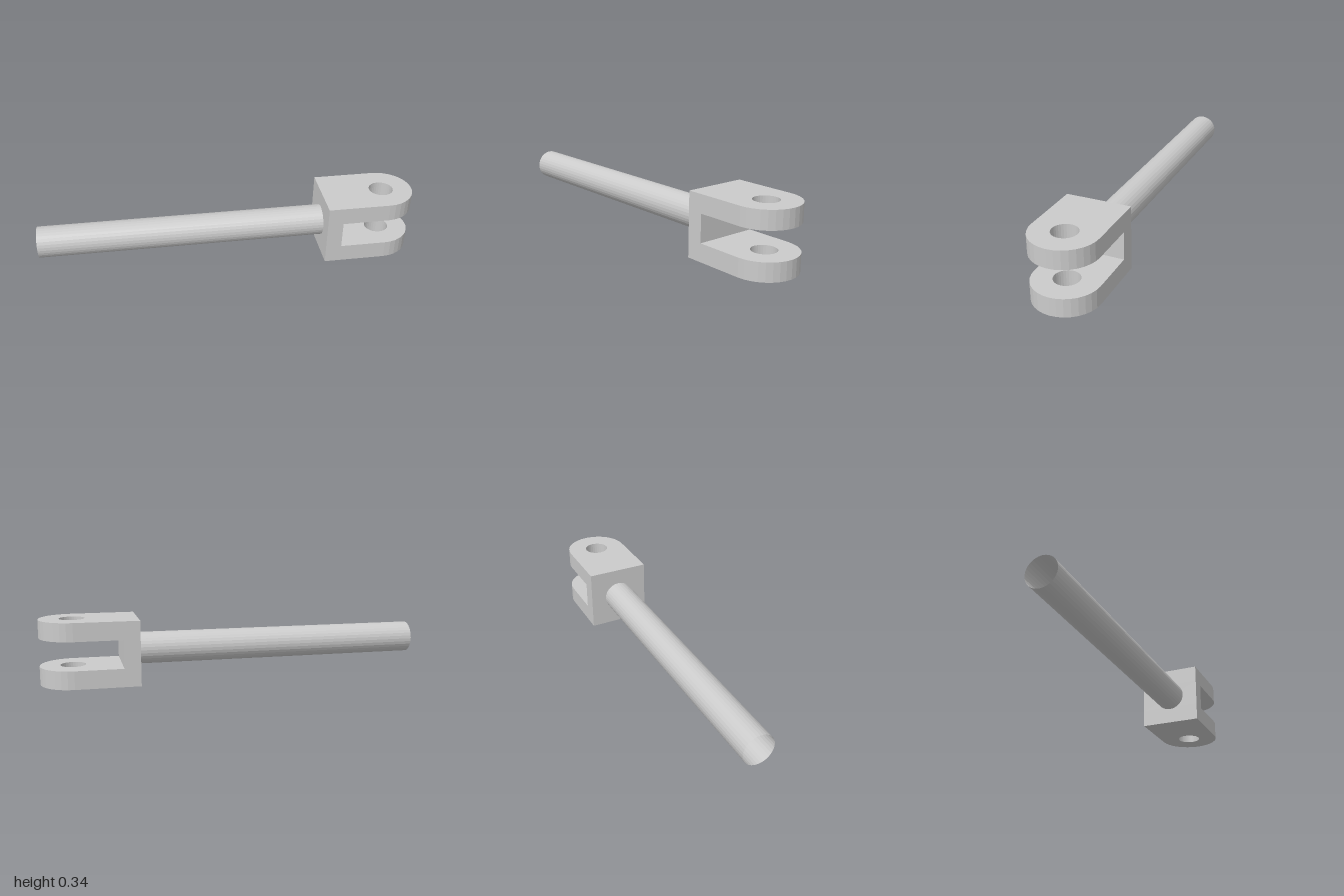
import * as THREE from 'three';

const HEIGHT = 0.34;      // full height of the fork
const HALF = 0.171;       // half width, also the radius of the rounded tips
const BACK = -0.335;      // fork's back face, measured from the pin hole
const WEB = 0.085;        // thickness of the fork's base
const LUG = 0.096;        // thickness of each prong
const HOLE = 0.066;
const ROD_RADIUS = 0.084;
const ROD_END = -1.885;

const material = new THREE.MeshStandardMaterial({ color: 0xcccccc, flatShading: true });
const openMaterial = new THREE.MeshStandardMaterial({
  color: 0xcccccc, flatShading: true, side: THREE.DoubleSide,
});

// Prong outline: square at the back, round around the pin hole
function prongGeometry() {
  const shape = new THREE.Shape();
  shape.moveTo(BACK, -HALF);
  shape.lineTo(0, -HALF);
  shape.absarc(0, 0, HALF, -Math.PI / 2, Math.PI / 2, false);
  shape.lineTo(BACK, HALF);
  shape.closePath();

  const hole = new THREE.Path();
  hole.absarc(0, 0, HOLE, 0, -Math.PI, true);
  hole.absarc(0, 0, HOLE, -Math.PI, -2 * Math.PI, true);
  shape.holes.push(hole);

  const geometry = new THREE.ExtrudeGeometry(shape, {
    depth: LUG, bevelEnabled: false, curveSegments: 8,
  });
  return geometry.rotateX(-Math.PI / 2);
}

export function createModel() {
  const model = new THREE.Group();
  model.name = 'clevisRod';

  // Everything lies along x with the pin hole at the origin, then is turned
  const assembly = new THREE.Group();
  assembly.name = 'assembly';
  assembly.position.set(0.828, 0, 0.228);
  assembly.rotation.y = -0.295;
  model.add(assembly);

  // Fork: two prongs joined by a base
  const fork = new THREE.Group();
  fork.name = 'fork';
  assembly.add(fork);

  const prong = prongGeometry();
  for (const [name, y] of [['lowerProng', 0], ['upperProng', HEIGHT - LUG]]) {
    const mesh = new THREE.Mesh(prong, material);
    mesh.name = name;
    mesh.position.y = y;
    fork.add(mesh);
  }

  const base = new THREE.Mesh(
    new THREE.BoxGeometry(WEB, HEIGHT - 2 * LUG, 2 * HALF), material);
  base.name = 'forkBase';
  base.position.set(BACK + WEB / 2, HEIGHT / 2, 0);
  fork.add(base);

  // Rod: a thin tube, open at the far end
  const length = BACK - ROD_END;
  const rod = new THREE.Mesh(
    new THREE.CylinderGeometry(ROD_RADIUS, ROD_RADIUS, length, 32, 1, true).rotateZ(Math.PI / 2),
    openMaterial);
  rod.name = 'rod';
  rod.position.set((BACK + ROD_END) / 2, HEIGHT / 2, 0);
  assembly.add(rod);

  return model;
}
